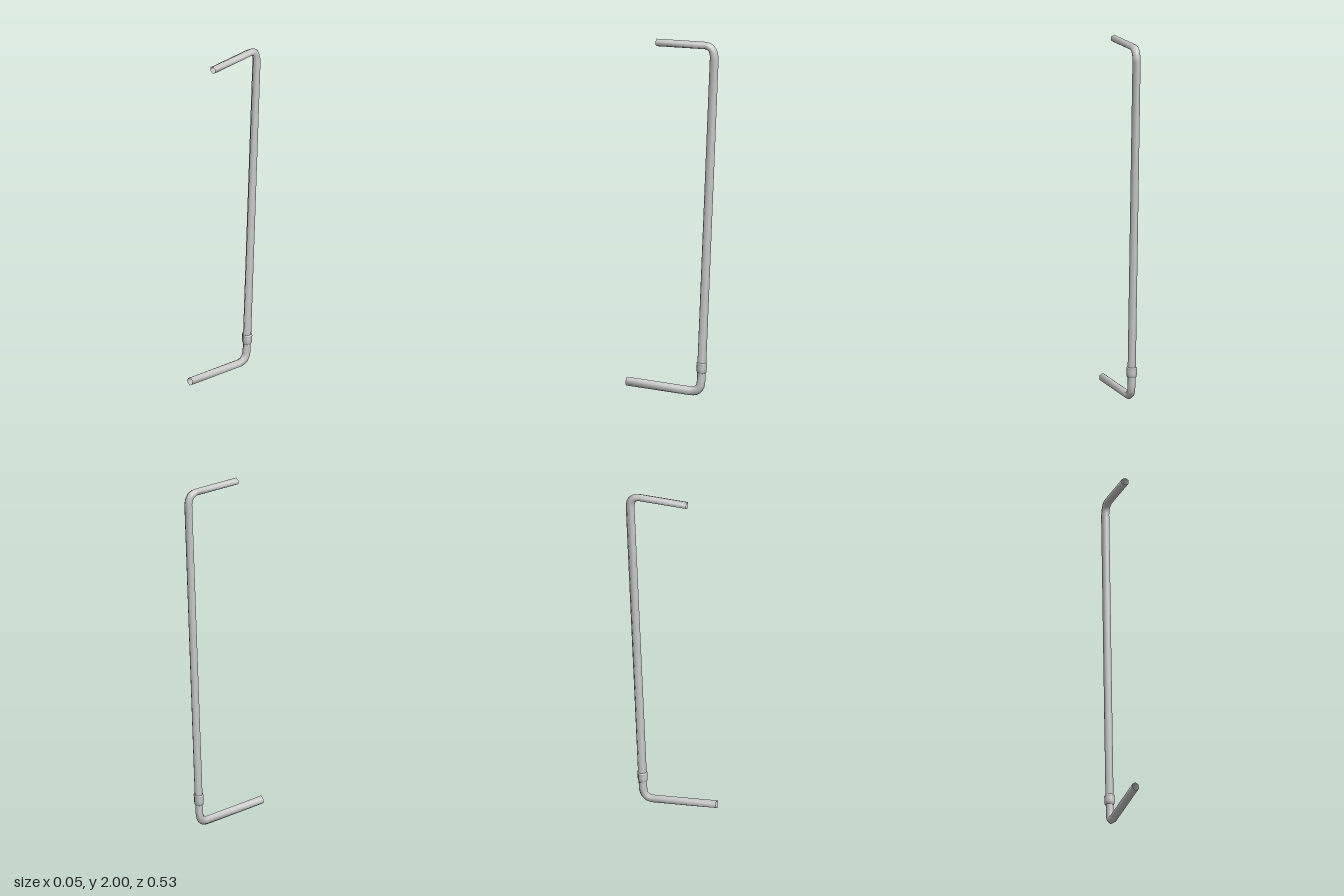
import * as THREE from 'three';

const SIDES = 6;
const material = new THREE.MeshStandardMaterial({ color: 0xcccccc, side: THREE.DoubleSide });

// Sweep an open hexagonal tube along rings {z, y, depth}, ridge facing out of the bend
function sweep(rings, halfWidth) {
  const pos = [], index = [];
  rings.forEach((p, i) => {
    const a = rings[Math.max(i - 1, 0)], b = rings[Math.min(i + 1, rings.length - 1)];
    const len = Math.hypot(b.z - a.z, b.y - a.y);
    const tz = (b.z - a.z) / len, ty = (b.y - a.y) / len;
    for (let k = 0; k < SIDES; k++) {
      const t = (k / SIDES) * Math.PI * 2, n = Math.cos(t) * p.depth;
      pos.push(Math.sin(t) * halfWidth, p.y + tz * n, p.z - ty * n);
      if (i === 0) continue;
      const k2 = (k + 1) % SIDES, lo = (i - 1) * SIDES, hi = i * SIDES;
      index.push(lo + k, hi + k, lo + k2, lo + k2, hi + k, hi + k2);
    }
  });
  const g = new THREE.BufferGeometry();
  g.setAttribute('position', new THREE.Float32BufferAttribute(pos, 3));
  g.setIndex(index);
  g.computeVertexNormals();
  return g;
}

// Rounded corner between two straight runs, points given as [z, y]
function bend(from, corner, to, d0, d1) {
  const curve = new THREE.QuadraticBezierCurve(
    new THREE.Vector2(...from), new THREE.Vector2(...corner), new THREE.Vector2(...to));
  return curve.getPoints(7).map((p, i) => ({ z: p.x, y: p.y, depth: d0 + (d1 - d0) * i / 7 }));
}

export function createModel() {
  const group = new THREE.Group();
  const add = (name, geometry) => {
    const mesh = new THREE.Mesh(geometry, material);
    mesh.name = name;
    group.add(mesh);
    return mesh;
  };

  // Long upper pipe, bent forward at the top
  add('upperPipe', sweep([
    { z: -0.17, y: 0.16, depth: 0.025 },
    ...bend([-0.241, 1.9], [-0.245, 1.979], [-0.185, 1.979], 0.025, 0.021),
    { z: 0.086, y: 1.979, depth: 0.021 },
  ], 0.022));

  // Lower pipe, bent forward at the foot
  add('lowerPipe', sweep([
    { z: 0.257, y: 0.06, depth: 0.025 },
    ...bend([-0.105, 0.028], [-0.165, 0.023], [-0.167, 0.09], 0.025, 0.024),
    { z: -0.17, y: 0.16, depth: 0.024 },
  ], 0.021));

  // Rounded collar over the joint
  const profile = [[0.023, -0.029], [0.027, -0.024], [0.029, -0.01], [0.029, 0.01],
    [0.028, 0.018], [0.03, 0.022], [0.029, 0.029], [0.023, 0.029]];
  const collar = add('collar', new THREE.LatheGeometry(
    profile.map(([r, y]) => new THREE.Vector2(r, y)), SIDES));
  collar.position.set(0, 0.162, -0.17);
  collar.rotation.x = -0.04;

  return group;
}
